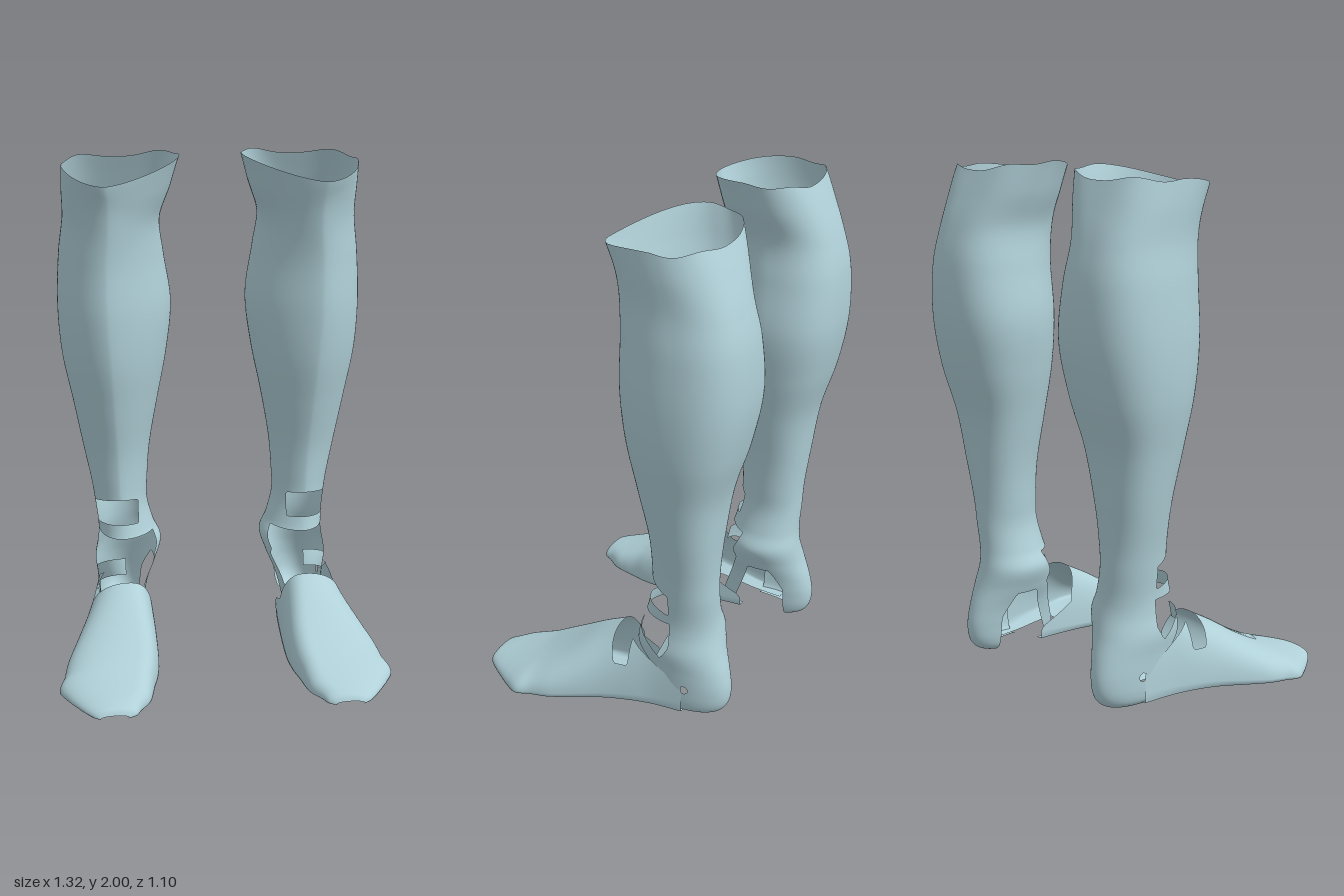
import * as THREE from 'three';

const material = new THREE.MeshStandardMaterial({ color: 0xb0d0d8, side: THREE.DoubleSide });
const { min, max, abs, sign, sin, cos, PI, hypot, floor } = Math;
const { smoothstep, lerp } = THREE.MathUtils;

// Smooth interpolation through a list of section rows, u in 0..1
function sample(rows, u) {
  const n = rows.length - 1;
  const f = min(u * n, n - 1e-6), i = floor(f), t = f - i;
  const at = k => rows[max(0, min(n, k))];
  return rows[0].map((_, k) => {
    const a = at(i - 1)[k], b = at(i)[k], c = at(i + 1)[k], d = at(i + 2)[k];
    return b + 0.5 * t * (c - a + t * (2 * a - 5 * b + 4 * c - d + t * (3 * (b - c) + d - a)));
  });
}

// Smooth open shell over a grid, trimmed cleanly to where field() is positive
function shell(nu, nv, point, field, closed, side) {
  const w = nv + 1, pos = [], fields = [], tris = [];
  const id = (i, j) => i * w + (closed ? j % nv : j);
  for (let i = 0; i <= nu; i++) {
    for (let j = 0; j <= nv; j++) {
      const p = point(i / nu, j / nv);
      pos.push(p.x * side, p.y, p.z);
      fields.push(field(p, j / nv));
    }
  }
  for (let i = 0; i < nu; i++) {
    for (let j = 0; j < nv; j++) {
      const a = [i, j], b = [i, j + 1], c = [i + 1, j], d = [i + 1, j + 1];
      tris.push(...(side > 0 ? [[a, c, b], [b, c, d]] : [[a, b, c], [b, d, c]]));
    }
  }
  const full = new THREE.BufferGeometry();
  full.setAttribute('position', new THREE.Float32BufferAttribute(pos, 3));
  full.setIndex(tris.flat().map(q => id(...q)));
  full.computeVertexNormals();
  const normals = full.attributes.normal.array;

  const outPos = [], outNormal = [];
  for (const tri of tris) {
    const corners = tri.map(([i, j]) => {
      const k = id(i, j) * 3;
      return { f: fields[i * w + j], d: [...pos.slice(k, k + 3), ...normals.slice(k, k + 3)] };
    });
    const poly = [];
    corners.forEach((p, k) => {
      const q = corners[(k + 1) % 3];
      if (p.f >= 0) poly.push(p.d);
      if ((p.f >= 0) !== (q.f >= 0)) {
        const t = p.f / (p.f - q.f);
        poly.push(p.d.map((value, m) => lerp(value, q.d[m], t)));
      }
    });
    for (let k = 2; k < poly.length; k++) {
      for (const v of [poly[0], poly[k - 1], poly[k]]) {
        outPos.push(v[0], v[1], v[2]);
        outNormal.push(v[3], v[4], v[5]);
      }
    }
  }
  const g = new THREE.BufferGeometry();
  g.setAttribute('position', new THREE.Float32BufferAttribute(outPos, 3));
  g.setAttribute('normal', new THREE.Float32BufferAttribute(outNormal, 3));
  return g;
}

// Leg rings, top to heel: y, inner x, outer x, front z, back z, x of the shin ridge
const legRings = [
  [1.97, 0.12, 0.575, 0.0, -0.43, 0.42],
  [1.88, 0.15, 0.578, -0.02, -0.465, 0.41],
  [1.75, 0.195, 0.578, -0.04, -0.51, 0.41],
  [1.6, 0.18, 0.597, -0.05, -0.543, 0.42],
  [1.4, 0.153, 0.608, -0.045, -0.547, 0.42],
  [1.2, 0.175, 0.597, -0.06, -0.512, 0.41],
  [1.0, 0.215, 0.56, -0.1, -0.455, 0.4],
  [0.8, 0.25, 0.525, -0.14, -0.43, 0.39],
  [0.65, 0.263, 0.497, -0.15, -0.417, 0.385],
  [0.55, 0.265, 0.483, -0.147, -0.415, 0.38],
  [0.45, 0.24, 0.472, -0.13, -0.415, 0.375],
  [0.38, 0.212, 0.475, -0.105, -0.425, 0.37],
  [0.3, 0.235, 0.488, -0.085, -0.443, 0.37],
  [0.22, 0.265, 0.482, -0.08, -0.468, 0.37],
  [0.15, 0.28, 0.478, -0.08, -0.482, 0.37],
  [0.09, 0.288, 0.474, -0.08, -0.478, 0.37],
  [0.05, 0.298, 0.465, -0.08, -0.455, 0.37],
  [0.03, 0.32, 0.445, -0.08, -0.415, 0.37],
  [0.035, 0.34, 0.42, -0.08, -0.385, 0.37],
];

function legPoint(u, v) {
  const [y, xi, xo, zf, zb, ridge] = sample(legRings, u);
  const a = v * PI * 2, s = sin(a), c = cos(a), front = max(c, 0);
  const pw = (n, e) => sign(n) * abs(n) ** e;
  // Pointed shin, broad squarish calf, rounder heel
  const calf = smoothstep(y, 0.5, 1.0), shin = smoothstep(y, 0.35, 0.65);
  const cx = (xi + xo) / 2, hx = (xo - xi) / 2, zc = zb + lerp(0.47, 0.43, shin) * (zf - zb);
  const x = cx + (ridge - cx) * front ** 2 + hx * pw(s, c > 0 ? lerp(1, 1.3, shin) : lerp(0.95, 0.75, calf));
  const z = zc + (c > 0 ? (zf - zc) * c : (zc - zb) * pw(c, lerp(0.95, 0.8, calf)));
  // Wavy upper rim: low in front, high on the inner side
  const rim = smoothstep(y, 1.8, 1.97);
  const wave = 0.03 * max(-s, 0) ** 2 - 0.04 * front ** 2 + (c < 0 ? 0.008 * cos(5 * a) : 0);
  return new THREE.Vector3(x, y + rim * wave, z);
}

// Shin window, ankle band, and the crossing straps below it
function legField({ x, y, z }, v) {
  const w = z + 0.262;
  const shinWindow = min(0.565 + 0.3 * w - y, y - 0.475 - 0.15 * w, w, x - 0.31);
  let lower;
  if (v < 0.5) {
    const strap = 0.038 - abs(y - 0.33 - (z + 0.09) * 0.67);
    const heel = -0.265 + 0.6 * min(0.07, max(0, 0.33 - y)) - z;
    lower = min(max(heel, strap), hypot(z + 0.33, y - 0.15) - 0.017);
  } else {
    const ankle = min(y - 0.28, -0.17 - 0.5 * abs(y - 0.34) - z);
    const heel = -0.39 + 0.5 * max(0, y - 0.18) - z;
    const strap = min(y - 0.06, 0.035 - abs(z + 0.22 - (0.3 - y) * 0.4));
    lower = max(ankle, heel, strap);
  }
  return min(-shinWindow, max(y - 0.435, lower));
}

// Foot sections, back to toes: z, inner x, outer x, top y, bottom y, x of the crest
const footSections = [
  [-0.32, 0.285, 0.478, 0.5, 0.045, 0.37],
  [-0.2, 0.275, 0.492, 0.43, 0.045, 0.37],
  [-0.1, 0.265, 0.518, 0.36, 0.045, 0.37],
  [0.0, 0.26, 0.55, 0.3, 0.04, 0.37],
  [0.1, 0.258, 0.59, 0.245, 0.03, 0.36],
  [0.2, 0.26, 0.628, 0.183, 0.02, 0.35],
  [0.28, 0.272, 0.643, 0.138, 0.013, 0.35],
  [0.34, 0.288, 0.66, 0.108, 0.01, 0.36],
  [0.4, 0.3, 0.632, 0.086, 0.01, 0.375],
  [0.45, 0.315, 0.6, 0.07, 0.01, 0.39],
  [0.5, 0.35, 0.565, 0.055, 0.01, 0.42],
  [0.535, 0.37, 0.535, 0.042, 0.01, 0.45],
  [0.55, 0.4, 0.51, 0.022, 0.01, 0.455],
];
const soleEdge = 0.125;

// Each section runs from mid sole, round the inner side and over, back to mid sole
function footPoint(u, v) {
  const [z, xi, xo, top, bottom, crest] = sample(footSections, u);
  const k = max(soleEdge - v, v - 1 + soleEdge) / soleEdge;
  if (k > 0) {
    const wall = v < 0.5 ? xi : xo;
    return new THREE.Vector3(lerp(wall, (xi + xo) / 2, k), bottom - 0.01 * sin(k * PI / 2), z);
  }
  const a = (v - soleEdge) / (1 - 2 * soleEdge) * PI, s = sin(a), c = cos(a);
  const x = c > 0 ? crest - (crest - xi) * c ** 0.75 : crest + (xo - crest) * -c;
  return new THREE.Vector3(x, bottom + (top - bottom) * max(s, 0) ** 0.85, z);
}

// Instep edge, long outer wall, short inner wall, and sole from arch to ball
function footField({ y, z }, v) {
  const k = max(soleEdge - v, v - 1 + soleEdge) / soleEdge;
  if (k > 0) {
    const rim = z > 0.33 ? 0.12 : v < 0.5 ? 0.35 : 0.55;
    return max(min(rim - k, z + (v < 0.5 ? 0.2 : 0.4)), min(z - 0.015, 0.33 - z));
  }
  const instep = z + 0.04 - 0.4 * max(0, y - 0.2);
  const wall = v > 0.5
    ? min(0.31 + 0.67 * (z + 0.09) - y, max(0.2 - y, -0.095 - z))
    : min(z + 0.2, 0.19 + 0.5 * z - y);
  return max(instep, wall);
}

function makeLeg(side) {
  const group = new THREE.Group();
  group.name = side > 0 ? 'leftLeg' : 'rightLeg';
  const lower = new THREE.Mesh(shell(160, 96, legPoint, legField, true, side), material);
  lower.name = 'shinCalfAndHeel';
  const foot = new THREE.Mesh(shell(96, 80, footPoint, footField, false, side), material);
  foot.name = 'foot';
  group.add(lower, foot);
  return group;
}

export function createModel() {
  const model = new THREE.Group();
  model.name = 'lowerLegs';
  for (const side of [1, -1]) model.add(makeLeg(side));
  return model;
}
